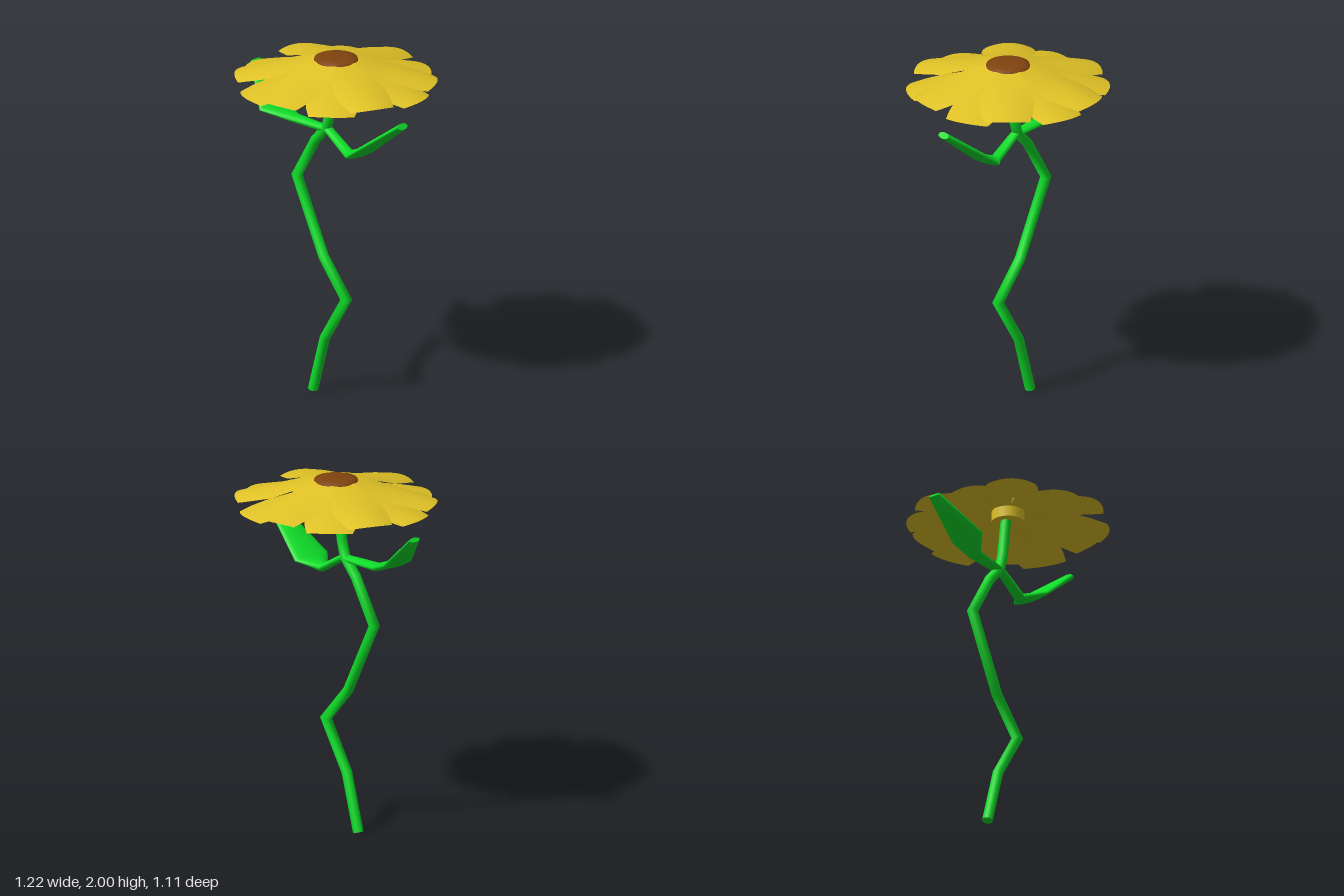
import * as THREE from 'three';

const SIDES = 14;

// Smooth closed tube along a path in the xy plane.
// Each section: [x, y, half thickness, half width in z, z offset]
function sweep(sections, material, name) {
  const pos = [], idx = [];
  const pts = sections.map(s => new THREE.Vector2(s[0], s[1]));
  const last = pts.length - 1;
  sections.forEach(([x, y, h, w, z = 0], i) => {
    const a = pts[Math.min(i + 1, last)].clone().sub(pts[Math.min(i, last - 1)]).normalize();
    const b = pts[Math.max(i, 1)].clone().sub(pts[Math.max(i - 1, 0)]).normalize();
    const t = a.clone().add(b).normalize();
    const mitre = h / Math.max(t.dot(a), 0.6);
    for (let j = 0; j < SIDES; j++) {
      const ang = j / SIDES * Math.PI * 2;
      const c = Math.cos(ang) * mitre;
      pos.push(x - t.y * c, y + t.x * c, z + Math.sin(ang) * w);
    }
  });
  for (let i = 0; i < last; i++) {
    for (let j = 0; j < SIDES; j++) {
      const k = (j + 1) % SIDES, p = i * SIDES, q = p + SIDES;
      idx.push(p + j, p + k, q + j, p + k, q + k, q + j);
    }
  }
  // End caps with their own vertices, so the rims stay sharp
  for (const i of [0, last]) {
    const start = pos.length / 3;
    pos.push(...pos.slice(i * SIDES * 3, (i + 1) * SIDES * 3));
    for (let j = 1; j < SIDES - 1; j++) {
      idx.push(start, start + (i ? j : j + 1), start + (i ? j + 1 : j));
    }
  }
  return meshFrom(pos, idx, material, name);
}

function meshFrom(pos, idx, material, name) {
  const geo = new THREE.BufferGeometry();
  geo.setAttribute('position', new THREE.Float32BufferAttribute(pos, 3));
  geo.setIndex(idx);
  geo.computeVertexNormals();
  const mesh = new THREE.Mesh(geo, material);
  mesh.name = name;
  return mesh;
}

// Arched petal pointing along +x. Rows: [distance, half width, height, droop, tip rounding]
function petal(rows, material, name) {
  const N = 10, pos = [], idx = [];
  rows.forEach(([r, w, y, droop, round], i) => {
    for (let j = 0; j <= N; j++) {
      const v = j / N * 2 - 1;
      pos.push(r - round * v * v, y - droop * v * v, w * v);
      if (i < rows.length - 1 && j < N) {
        const a = i * (N + 1) + j, b = a + N + 1;
        idx.push(a, a + 1, b, a + 1, b + 1, b);
      }
    }
  });
  return meshFrom(pos, idx, material, name);
}

export function createModel() {
  const green = new THREE.MeshStandardMaterial({ color: 0x0edc28 });
  green.name = 'stemGreen';
  const yellow = new THREE.MeshStandardMaterial({ color: 0xe0c226, side: THREE.DoubleSide });
  yellow.name = 'petalYellow';
  const brown = new THREE.MeshStandardMaterial({ color: 0x80430f });
  brown.name = 'centreBrown';

  const model = new THREE.Group();
  model.name = 'flower';

  // Zigzag stem
  const stem = [
    [-0.13, 0.008], [-0.035, 0.33], [0.138, 0.6], [-0.045, 0.8],
    [-0.262, 1.22], [-0.11, 1.465], [-0.02, 1.56], [0.005, 1.65], [0.04, 1.9],
  ].map(([x, y]) => [x, y, 0.028, 0.03]);
  model.add(sweep(stem, green, 'stem'));

  // Two arm-like leaves, thin at the stem and broad at the bend
  model.add(sweep([
    [-0.01, 1.555, 0.02, 0.028], [0.16, 1.455, 0.021, 0.035], [0.26, 1.492, 0.022, 0.12],
    [0.595, 1.737, 0.019, 0.036],
  ], green, 'leftLeaf'));
  model.add(sweep([
    [-0.01, 1.552, 0.02, 0.028], [-0.27, 1.555, 0.021, 0.045, 0.02],
    [-0.385, 1.6, 0.022, 0.105, 0.06], [-0.6, 1.795, 0.014, 0.037, -0.003],
  ], green, 'rightLeaf'));

  // Flower head: two rings of six petals
  const head = new THREE.Group();
  head.name = 'flowerHead';
  head.position.x = 0.055;
  const upper = [
    [0.02, 0.014, 1.987, 0, 0], [0.1, 0.06, 1.984, 0, 0], [0.2, 0.117, 1.956, 0.006, 0],
    [0.34, 0.15, 1.926, 0.022, 0], [0.45, 0.143, 1.905, 0.022, 0.01], [0.558, 0.126, 1.877, 0.014, 0.036],
  ];
  const lower = [
    [0.06, 0.036, 1.935, 0, 0], [0.2, 0.11, 1.915, 0.006, 0], [0.34, 0.15, 1.893, 0.018, 0],
    [0.45, 0.143, 1.874, 0.018, 0.01], [0.558, 0.126, 1.848, 0.01, 0.036],
  ];
  [[upper, 100, 'upperPetal'], [lower, 75, 'lowerPetal']].forEach(([rows, start, name]) => {
    for (let i = 0; i < 6; i++) {
      const p = petal(rows, yellow, name);
      p.rotation.y = THREE.MathUtils.degToRad(start + i * 60);
      head.add(p);
    }
  });

  // Hub under the petals
  const hub = new THREE.Mesh(new THREE.CylinderGeometry(0.09, 0.09, 0.11, 24), yellow);
  hub.name = 'hub';
  hub.position.y = 1.925;
  head.add(hub);

  // Low domed seed disc
  const disc = new THREE.Mesh(new THREE.LatheGeometry([
    [0.122, 1.976], [0.118, 1.988], [0.09, 1.996], [0.05, 1.999], [0, 2],
  ].map(p => new THREE.Vector2(...p)), 32), brown);
  disc.name = 'seedDisc';
  head.add(disc);

  model.add(head);
  return model;
}
